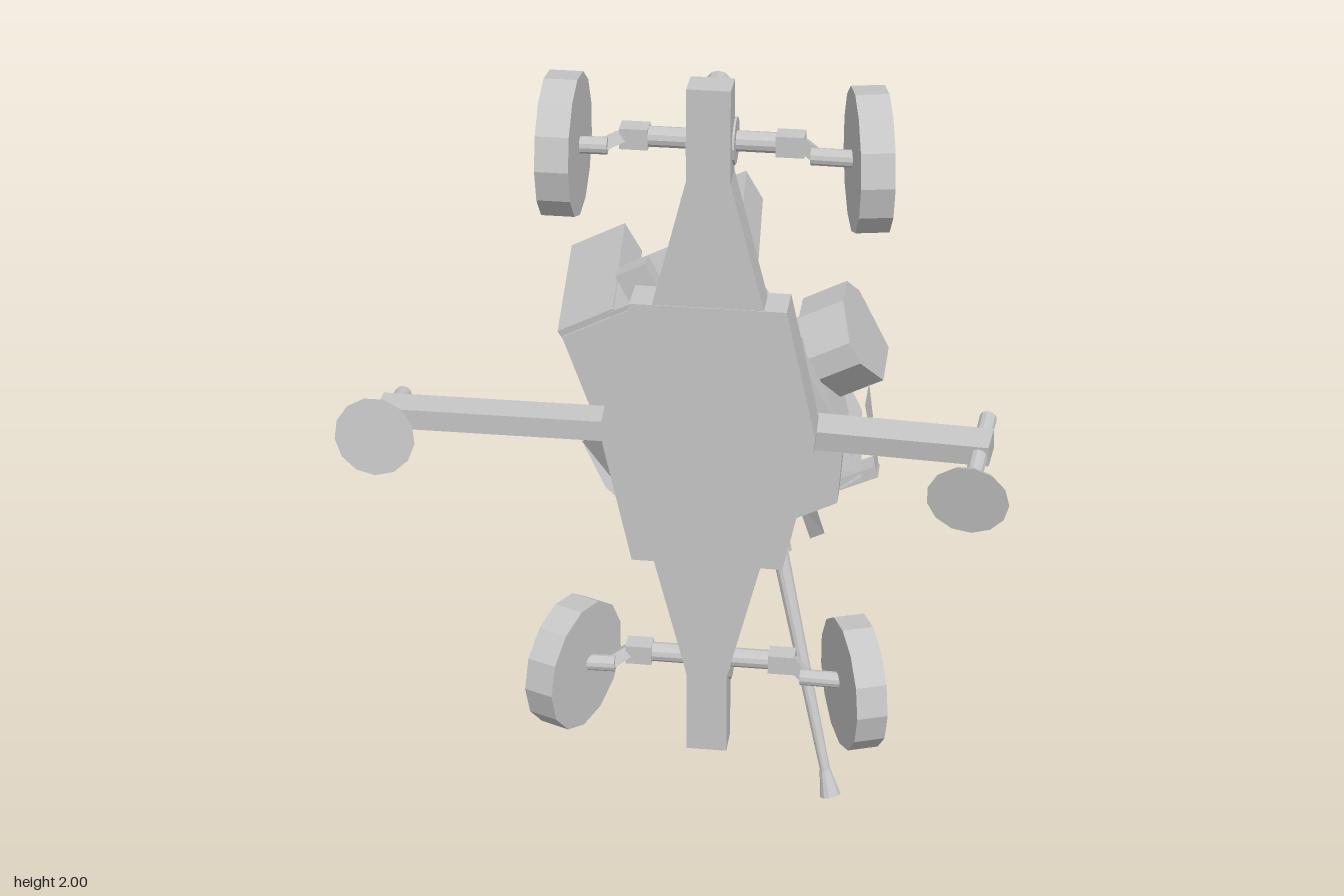
import * as THREE from 'three';

const grey = new THREE.MeshStandardMaterial({ color: 0xc6c6c6, side: THREE.DoubleSide, flatShading: true });
grey.name = 'plain grey';

const V = (p) => new THREE.Vector3(...p);

function add(parent, name, geo, pos = [0, 0, 0]) {
  const m = new THREE.Mesh(geo, grey);
  m.name = name;
  m.position.set(...pos);
  parent.add(m);
  return m;
}
const box = (parent, name, size, pos) => add(parent, name, new THREE.BoxGeometry(...size), pos);

// Cylinder or cone running from a to b
function rod(parent, name, a, b, ra, rb = ra, sides = 12) {
  const A = V(a), B = V(b), d = B.clone().sub(A);
  const m = add(parent, name, new THREE.CylinderGeometry(rb, ra, d.length(), sides));
  m.position.copy(A).add(B).multiplyScalar(0.5);
  m.quaternion.setFromUnitVectors(new THREE.Vector3(0, 1, 0), d.normalize());
  return m;
}

// Square bar running from a to b
function bar(parent, name, a, b, w, h) {
  const A = V(a), B = V(b), d = B.clone().sub(A);
  const m = box(parent, name, [w, d.length(), h], A.clone().add(B).multiplyScalar(0.5).toArray());
  m.quaternion.setFromUnitVectors(new THREE.Vector3(0, 1, 0), d.normalize());
  return m;
}

// Outline in x, y pushed from z0 to z1
function slab(parent, name, pts, z0, z1) {
  const s = new THREE.Shape(pts.map(([x, y]) => new THREE.Vector2(x, y)));
  const g = new THREE.ExtrudeGeometry(s, { depth: z1 - z0, bevelEnabled: false });
  return add(parent, name, g.translate(0, 0, z0));
}

// Thin plate through a fan of corners
function plate(parent, name, pts) {
  const out = [];
  for (let i = 1; i < pts.length - 1; i++) out.push(...pts[0], ...pts[i], ...pts[i + 1]);
  const g = new THREE.BufferGeometry();
  g.setAttribute('position', new THREE.Float32BufferAttribute(out, 3));
  g.computeVertexNormals();
  return add(parent, name, g);
}

function buildChassis(root) {
  const g = new THREE.Group();
  g.name = 'chassis';
  root.add(g);
  const cx = 0.07;
  // Long tapering beam and the wider centre hull
  const half = [[0.05, 1.99], [0.05, 1.77], [0.13, 1.455], [0.13, 0.77], [0.05, 0.45], [0.05, 0.23]];
  const mirror = (h) => [...h.map(([w, y]) => [cx + w, y]), ...h.slice().reverse().map(([w, y]) => [cx - w, y])];
  slab(g, 'beam', mirror(half), 0.155, 0.235);
  slab(g, 'hull', mirror([[0.183, 1.455], [0.255, 1.13], [0.25, 1.08], [0.183, 0.768]]), 0.137, 0.237);
  rod(g, 'turntable', [cx, 1.11, 0.14], [cx, 1.11, 0.1], 0.2, 0.2, 16);
  rod(g, 'upperPost', [cx, 1.935, 0.16], [cx, 1.935, 0.05], 0.03);
  rod(g, 'lowerPost', [cx, 0.305, 0.16], [cx, 0.305, 0.05], 0.03);

  // Axles with steered wheels
  const axles = [
    { y: 1.84, turns: [0, 0.2], xs: [-0.26, 0.43] },
    { y: 0.457, turns: [-0.39, 0.36], xs: [-0.262, 0.432] },
  ];
  for (const { y, turns, xs } of axles) {
    rod(g, 'axle', [-0.1, y, 0.155], [0.24, y, 0.155], 0.024);
    rod(g, 'axleHousing', [0.015, y, 0.155], [0.125, y, 0.155], 0.055);
    [-1, 1].forEach((s, i) => {
      const X = (d) => cx + s * d;
      box(g, 'axleBlock', [0.065, 0.05, 0.05], [X(0.178), y, 0.155]);
      bar(g, 'knuckle', [X(0.2), y, 0.15], [X(0.245), y, 0.222], 0.026, 0.03);
      rod(g, 'hub', [X(0.23), y, 0.222], [xs[i], y, 0.225], 0.02);
      const wheel = new THREE.Group();
      wheel.name = 'wheel';
      wheel.position.set(xs[i], y, 0.225);
      wheel.rotation.y = turns[i];
      rod(wheel, 'tyre', [-0.038, 0, 0], [0.038, 0, 0], 0.165, 0.165, 13);
      g.add(wheel);
    });
  }

  // Outriggers with screw jacks and round feet
  const legs = [
    { a: [-0.15, 1.11, 0.187], b: [-0.725, 1.112, 0.193], top: [-0.695, 1.098, 0.08], foot: [-0.695, 1.142, 0.374] },
    { a: [0.3, 1.108, 0.155], b: [0.735, 1.122, 0.208], top: [0.722, 1.142, 0.1], foot: [0.692, 1.088, 0.392] },
  ];
  for (const { a, b, top, foot } of legs) {
    bar(g, 'outrigger', a, b, 0.052, 0.08);
    rod(g, 'jack', top, foot, 0.021);
    const dir = V(foot).sub(V(top)).normalize();
    const p = (t) => V(foot).addScaledVector(dir, t).toArray();
    rod(g, 'footPad', p(-0.008), p(0.01), 0.085, 0.096, 13);
  }
}

function buildTurret(root) {
  const t = new THREE.Group();
  t.name = 'turret';
  t.position.set(0.07, 1.11, 0);
  t.rotation.z = 0.47;
  root.add(t);
  // Platform with clipped front corners
  slab(t, 'platform', [[-0.24, 0.33], [0.24, 0.33], [0.26, 0.1], [0.26, -0.18], [0.17, -0.33],
    [-0.17, -0.33], [-0.27, -0.18], [-0.27, 0.1]], 0.06, 0.115);
  slab(t, 'deck', [[-0.22, 0.27], [0.22, 0.27], [0.24, -0.1], [0.14, -0.24], [-0.14, -0.24], [-0.24, -0.1]], 0, 0.06);

  // Tall rear lockers, leaning back, with a low step between them
  const rear = new THREE.Group();
  rear.name = 'rearLockers';
  rear.position.set(0.01, 0.282, 0.1);
  rear.rotation.x = 0.16;
  t.add(rear);
  box(rear, 'rightLocker', [0.18, 0.09, 0.385], [0.14, 0.02, -0.195]);
  box(rear, 'leftLocker', [0.15, 0.09, 0.375], [-0.18, 0.02, -0.19]);
  box(rear, 'step', [0.2, 0.09, 0.19], [-0.02, 0.015, -0.095]);
  box(t, 'rearBracket', [0.08, 0.09, 0.05], [-0.01, 0.375, 0.085]);

  // Chamfered sight housing on the right
  const side = slab(t, 'sightHousing', [[0, 0], [0, -0.06], [0.11, -0.17], [0.29, -0.17], [0.29, 0], [0.23, 0.06], [0.12, 0.06]], -0.06, 0.06);
  side.rotation.y = Math.PI / 2;
  side.position.x = 0.29;
  plate(t, 'rightCheek', [[0.24, 0.1, 0.06], [0.24, -0.26, 0.06], [0.23, -0.2, -0.18], [0.23, 0, -0.12]]);

  // Sloping shields either side of the barrel
  plate(t, 'rightShield', [[0.08, -0.34, 0.06], [0.24, -0.31, 0.07], [0.27, -0.22, -0.1], [0.18, -0.05, -0.41], [0.04, -0.06, -0.41]]);
  plate(t, 'leftShield', [[-0.07, -0.35, 0.06], [-0.22, -0.31, 0.07], [-0.28, -0.22, -0.1], [-0.22, -0.07, -0.41], [-0.08, -0.08, -0.41]]);
  plate(t, 'leftWing', [[-0.22, -0.31, 0.07], [-0.3, -0.29, 0.05], [-0.37, -0.12, -0.02],
    [-0.36, -0.02, -0.16], [-0.28, -0.1, -0.22], [-0.28, -0.22, -0.1]]);
  plate(t, 'leftWingReturn', [[-0.3, -0.29, 0.05], [-0.38, -0.12, 0], [-0.39, 0, -0.04], [-0.29, 0.03, 0.04], [-0.25, -0.1, 0.09]]);
  plate(t, 'frontFin', [[0.06, -0.32, 0.05], [0.1, -0.33, 0.05], [0.06, -0.46, -0.02], [0.02, -0.46, -0.02]]);

  // Cradle cheeks
  for (const x of [-0.085, 0.085]) {
    const cheek = slab(t, 'cradleCheek', [[-0.06, -0.16], [-0.06, 0.14], [0.2, 0.06], [0.24, -0.06], [0.16, -0.14]], -0.012, 0.012);
    cheek.rotation.y = Math.PI / 2;
    cheek.position.x = x;
  }
  // Bent strip guarding the right side
  plate(t, 'guardUpper', [[0.33, -0.14, 0.06], [0.275, -0.32, 0.06], [0.275, -0.32, 0], [0.33, -0.14, -0.06]]);
  bar(t, 'guardLower', [0.275, -0.315, 0.03], [0.1, -0.31, 0.03], 0.03, 0.06);
}

function buildGun(root) {
  const g = new THREE.Group();
  g.name = 'gun';
  root.add(g);
  // Points along the bore, measured by height
  const at = (y) => [0.215 - (y - 0.62) * 0.256, y, -0.095 - (y - 0.62) * 0.285];
  rod(g, 'muzzle', at(0.01), at(0.075), 0.027, 0.014);
  rod(g, 'barrel', at(0.07), at(0.63), 0.013, 0.021);
  rod(g, 'recoilSleeve', at(0.62), at(0.95), 0.03, 0.032);
  rod(g, 'collar', at(0.9), at(0.96), 0.045, 0.045);
  bar(g, 'cradle', at(0.94), at(1.2), 0.1, 0.1);
  bar(g, 'breech', at(1.18), at(1.31), 0.07, 0.085);
  box(g, 'loader', [0.07, 0.09, 0.16], [0.09, 1.13, -0.3]);
}

export function createModel() {
  const root = new THREE.Group();
  root.name = 'fieldGun';
  buildChassis(root);
  buildTurret(root);
  buildGun(root);
  return root;
}
